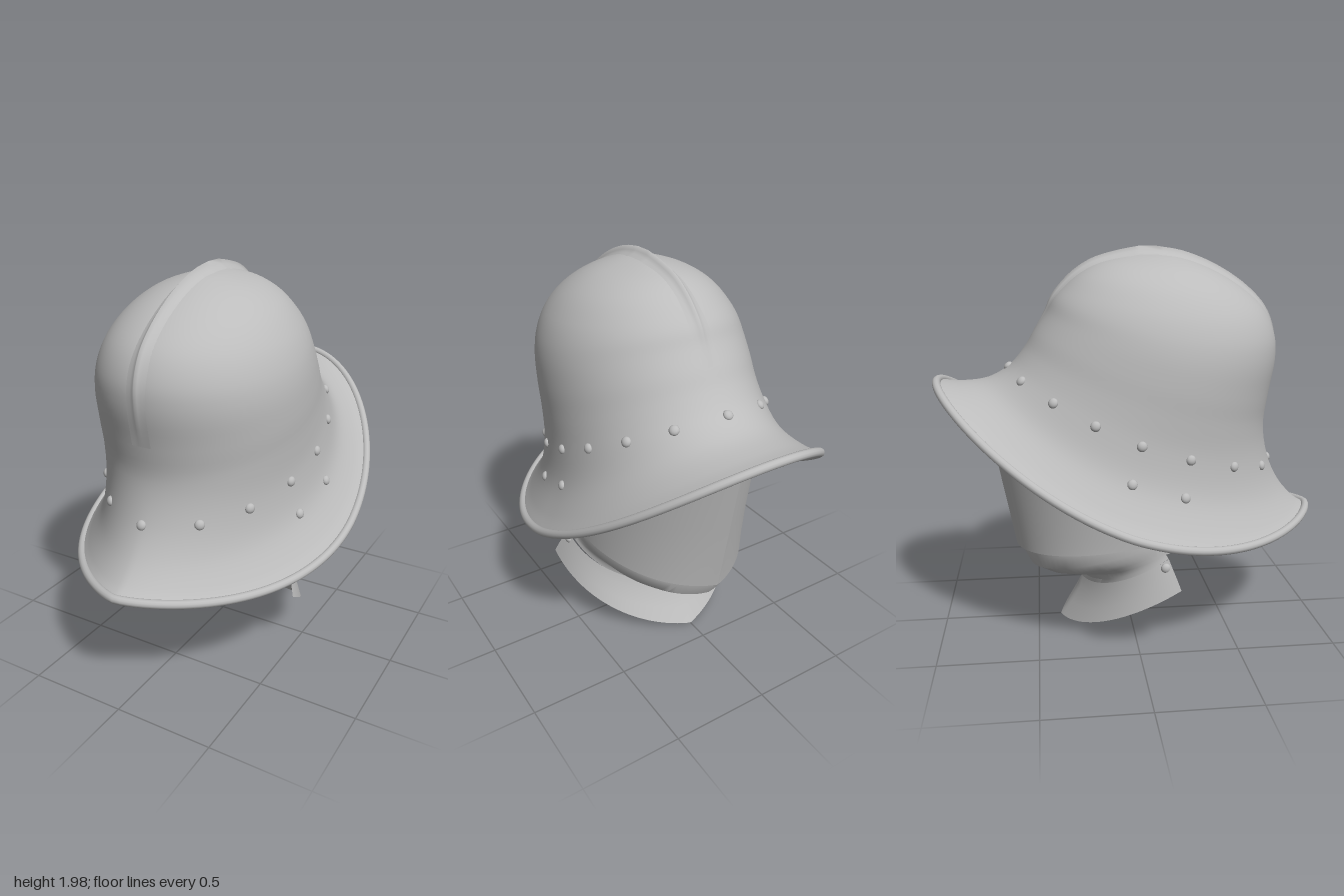
import * as THREE from 'three';
import { toCreasedNormals } from 'three/addons/utils/BufferGeometryUtils.js';

const steel = new THREE.MeshStandardMaterial({ color: 0xbcbcbc, side: THREE.DoubleSide });
steel.name = 'steel';

// Surface from a grid of points: point(i, j) for rows i and columns j
function gridGeometry(rows, cols, point, { wrap = false, skip = () => false } = {}) {
  const pos = [], idx = [], n = wrap ? cols : cols + 1;
  for (let i = 0; i <= rows; i++)
    for (let j = 0; j < n; j++) pos.push(...point(i, j).toArray());
  for (let i = 0; i < rows; i++)
    for (let j = 0; j < cols; j++) {
      if (skip(i, j)) continue;
      const a = i * n + j, b = i * n + (j + 1) % n;
      idx.push(a, b, b + n, a, b + n, a + n);
    }
  const g = new THREE.BufferGeometry();
  g.setAttribute('position', new THREE.Float32BufferAttribute(pos, 3));
  g.setIndex(idx);
  g.computeVertexNormals();
  return g;
}

// Skull and brim rings: front y,z | rear y,z | side x,y,z
const RINGS = [
  [0.6, 0.98, 1.322, -0.98, 0.708, 0.69, -0.05],
  [0.635, 0.92, 1.313, -0.87, 0.65, 0.76, -0.04],
  [0.73, 0.83, 1.33, -0.73, 0.572, 0.9, -0.02],
  [0.87, 0.755, 1.39, -0.62, 0.535, 1.075, 0.02],
  [1.07, 0.71, 1.48, -0.54, 0.525, 1.22, 0.08],
  [1.24, 0.728, 1.57, -0.485, 0.523, 1.35, 0.13],
  [1.42, 0.758, 1.66, -0.425, 0.512, 1.48, 0.165],
  [1.54, 0.752, 1.73, -0.385, 0.488, 1.58, 0.18],
  [1.66, 0.7, 1.785, -0.335, 0.443, 1.68, 0.18],
  [1.76, 0.6, 1.845, -0.265, 0.36, 1.79, 0.17],
  [1.86, 0.44, 1.895, -0.175, 0.245, 1.875, 0.15],
  [1.925, 0.27, 1.927, -0.06, 0.11, 1.925, 0.12],
  [1.947, 0.14, 1.947, 0.05, 0, 1.947, 0.1],
];
const spline = (f) => new THREE.CatmullRomCurve3(RINGS.map(f));
const frontLine = spline((r) => new THREE.Vector3(0, r[0], r[1]));
const rearLine = spline((r) => new THREE.Vector3(0, r[2], r[3]));
const sideLine = spline((r) => new THREE.Vector3(r[4], r[5], r[6]));

// Point on the skull: t runs from rim to crown, a is the angle from +z
function skullPoint(t, a) {
  const f = frontLine.getPoint(t), b = rearLine.getPoint(t), s = sideLine.getPoint(t);
  const sn = Math.sin(a), cs = Math.cos(a);
  const p = cs > 0 ? 1 + 0.4 * Math.max(0, 1 - t * 3) : 1;
  const mean = (f.y + b.y) / 2, c2 = (mean - s.y) / 2;
  return new THREE.Vector3(
    Math.sign(sn) * Math.abs(sn) ** p * s.x,
    mean - c2 + (f.y - b.y) / 2 * cs + c2 * Math.cos(2 * a),
    s.z + (cs > 0 ? f.z - s.z : s.z - b.z) * cs);
}

// Open plate bent round the face; row: keel y,z | end x,y,z | keel sharpness
function plateGeometry(rows, skip) {
  const N = 48;
  const g = gridGeometry(rows.length - 1, N, (i, j) => {
    const [ky, kz, ex, ey, ez, sharp] = rows[i];
    const s = 1 - 2 * j / N;
    const phi = sharp + (Math.PI / 2 - sharp) * Math.abs(s);
    const u = 1 - Math.cos(phi) / Math.cos(sharp);
    const w = (Math.sin(phi) - Math.sin(sharp)) / (1 - Math.sin(sharp));
    return new THREE.Vector3(Math.sign(s) * ex * w, ky + (ey - ky) * u, kz + (ez - kz) * u);
  }, { skip });
  return toCreasedNormals(g, 0.6);
}

export function createModel() {
  const group = new THREE.Group();
  const add = (name, geometry) => {
    const m = new THREE.Mesh(geometry, steel);
    m.name = name;
    group.add(m);
    return m;
  };

  // Skull with flared brim
  const R = 60, C = 96;
  add('skullAndBrim', gridGeometry(R, C,
    (i, j) => skullPoint(i / R, j / C * 2 * Math.PI), { wrap: true }));

  // Rolled edge of the brim
  const edge = [];
  for (let j = 0; j < 64; j++) edge.push(skullPoint(0, j / 64 * 2 * Math.PI));
  add('brimRoll', new THREE.TubeGeometry(new THREE.CatmullRomCurve3(edge, true), 160, 0.021, 12, true));

  // Crest along the middle of the skull, fading out at both ends
  const K = 30, line = [];
  for (let i = 0; i <= K; i++) line.push(frontLine.getPoint(0.42 + 0.58 * i / K));
  for (let i = K; i >= 0; i--) line.push(rearLine.getPoint(0.42 + 0.58 * i / K));
  const section = [[0.05, -0.006], [0.028, 0.005], [0.012, 0.017], [0, 0.037],
    [-0.012, 0.017], [-0.028, 0.005], [-0.05, -0.006]];
  add('crest', gridGeometry(line.length - 1, 6, (i, j) => {
    const d = line[Math.min(i + 1, line.length - 1)].clone().sub(line[Math.max(i - 1, 0)]).normalize();
    const [x, h] = section[6 - j];
    const k = h * Math.sin(Math.PI * i / (line.length - 1));
    return line[i].clone().add(new THREE.Vector3(x, -d.z * k, d.y * k));
  }));

  // Rivets: flattened domes facing outwards
  const rivetShape = new THREE.SphereGeometry(0.025, 14, 10).scale(1, 1, 0.7);
  const rivet = (name, p, normal) => {
    const m = add(name, rivetShape);
    m.position.copy(p);
    m.lookAt(p.clone().add(normal));
  };
  const skullRivet = (name, t, a) => {
    const p = skullPoint(t, a);
    const n = skullPoint(t, a + 0.02).sub(p).cross(skullPoint(t + 0.01, a).sub(p)).normalize();
    rivet(name, p, n);
  };
  skullRivet('liningRivet', 0.25, 0);
  skullRivet('liningRivet', 0.25, Math.PI);
  for (const s of [1, -1]) {
    for (const a of [0.53, 0.91, 1.27, 1.6, 1.94, 2.29, 2.67]) skullRivet('liningRivet', 0.25, s * a);
    for (const a of [1.3, 1.61]) skullRivet('brimRivet', 2 / 12, s * a);
    rivet('visorRivet', new THREE.Vector3(s * 0.462, 0.6, 0.04), new THREE.Vector3(s, 0, 0));
    rivet('gorgetRivet', new THREE.Vector3(s * 0.472, 0.445, 0.13), new THREE.Vector3(s, 0, 0));

    // Hinge strap looping behind each cheek
    const strap = add('hingeStrap',
      new THREE.CylinderGeometry(0.045, 0.045, 0.05, 20, 1, true, -Math.PI / 2, Math.PI));
    strap.scale.z = 3.5;
    strap.position.set(s * 0.45, 0.54, 0.08);
    strap.rotation.x = -0.25;
  }

  // Keeled visor with a sight slit on each side
  add('visor', plateGeometry([
    [0.42, -0.605, 0.455, 0.56, 0.07, 0.22],
    [0.56, -0.632, 0.46, 0.6, 0.09, 0.3],
    [0.82, -0.682, 0.465, 0.68, 0.085, 0.42],
    [1.13, -0.74, 0.465, 0.8, 0.04, 0.5],
    [1.16, -0.745, 0.465, 0.82, 0.03, 0.5],
    [1.26, -0.755, 0.455, 0.9, 0.0, 0.5],
    [1.29, -0.69, 0.42, 0.95, 0.0, 0.5],
  ], (i, j) => {
    const s = Math.abs(1 - 2 * (j + 0.5) / 48);
    return i === 3 && s > 0.08 && s < 0.62;
  }));

  // Chin guard, curling under to the throat
  add('chinGuard', plateGeometry([
    [0.21, -0.262, 0.455, 0.485, 0.145, 0.25],
    [0.25, -0.26, 0.45, 0.495, 0.14, 0.2],
    [0.285, -0.29, 0.447, 0.505, 0.135, 0.15],
    [0.287, -0.38, 0.445, 0.52, 0.125, 0.1],
    [0.293, -0.46, 0.445, 0.535, 0.115, 0.1],
    [0.325, -0.535, 0.445, 0.555, 0.1, 0.1],
    [0.4, -0.575, 0.443, 0.58, 0.09, 0.13],
    [0.52, -0.595, 0.438, 0.62, 0.06, 0.2],
    [0.74, -0.635, 0.43, 0.66, 0.05, 0.35],
  ]));

  // Flared throat plate, open behind
  add('gorget', plateGeometry([
    [0, -0.38, 0.525, 0.345, 0.2, 0.3],
    [0.08, -0.328, 0.505, 0.4, 0.18, 0.28],
    [0.165, -0.28, 0.482, 0.455, 0.158, 0.27],
    [0.225, -0.262, 0.467, 0.49, 0.145, 0.25],
  ]));

  return group;
}
